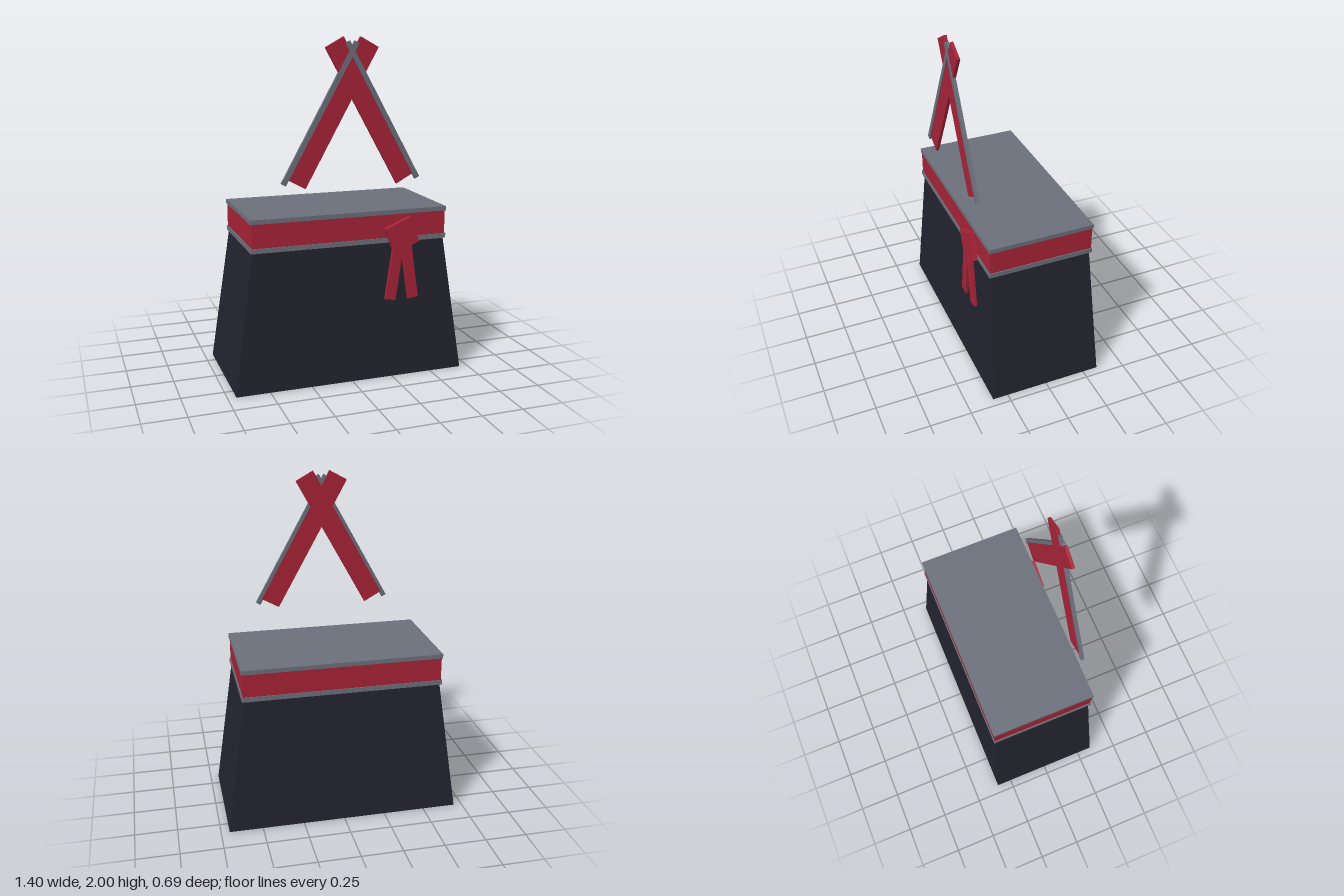
import * as THREE from 'three';

export function createModel() {
  const model = new THREE.Group();
  const mat = (name, color) => {
    const m = new THREE.MeshStandardMaterial({ color });
    m.name = name;
    return m;
  };
  const red = mat('red cloth', 0xa62336);
  const grey = mat('grey trim', 0x6b6f7a);
  const dark = mat('dark cloth', 0x23232f);

  // Box of size [w, h, d] centred at [x, y, z], tilted about z
  const box = (name, material, size, pos, tilt = 0, parent = model) => {
    const mesh = new THREE.Mesh(new THREE.BoxGeometry(...size), material);
    mesh.name = name;
    mesh.position.set(...pos);
    mesh.rotation.z = tilt;
    parent.add(mesh);
    return mesh;
  };

  // Skirt: a box whose top is drawn in
  const skirt = box('skirt', dark, [1.4, 0.83, 0.686], [0, 0.415, 0]);
  const p = skirt.geometry.attributes.position;
  for (let i = 0; i < p.count; i++) {
    if (p.getY(i) > 0) p.setXYZ(i, p.getX(i) * 0.83, p.getY(i), p.getZ(i) * 0.878);
  }
  skirt.geometry.computeVertexNormals();

  // Waist sash with a trim along each edge
  box('sash', red, [1.174, 0.17, 0.622], [0, 0.915, 0]);
  box('sashLowerTrim', grey, [1.186, 0.028, 0.632], [0, 0.833, 0]);
  box('sashUpperTrim', grey, [1.186, 0.026, 0.632], [0, 0.998, 0]);

  // Crossed collar: a wide band and a narrow trim on each side
  for (const [side, s] of [['right', -1], ['left', 1]]) {
    const collar = new THREE.Group();
    collar.name = side + 'Collar';
    model.add(collar);
    const tilt = s * THREE.MathUtils.degToRad(29);
    box(side + 'CollarBand', red, [0.12, 0.885, 0.018], [s * 0.112, 1.582, 0.304], tilt, collar);
    box(side + 'CollarTrim', grey, [0.029, 0.885, 0.02], [s * 0.187, 1.582, 0.307], tilt, collar);
  }

  // Sash knot with two hanging tails
  const knot = new THREE.Group();
  knot.name = 'sashKnot';
  model.add(knot);
  box('knot', red, [0.166, 0.16, 0.038], [0.306, 0.862, 0.324], 0.39, knot);
  box('rightTail', red, [0.065, 0.36, 0.018], [0.26, 0.656, 0.333], -0.145, knot);
  box('leftTail', red, [0.065, 0.36, 0.018], [0.352, 0.656, 0.333], 0.145, knot);

  return model;
}
